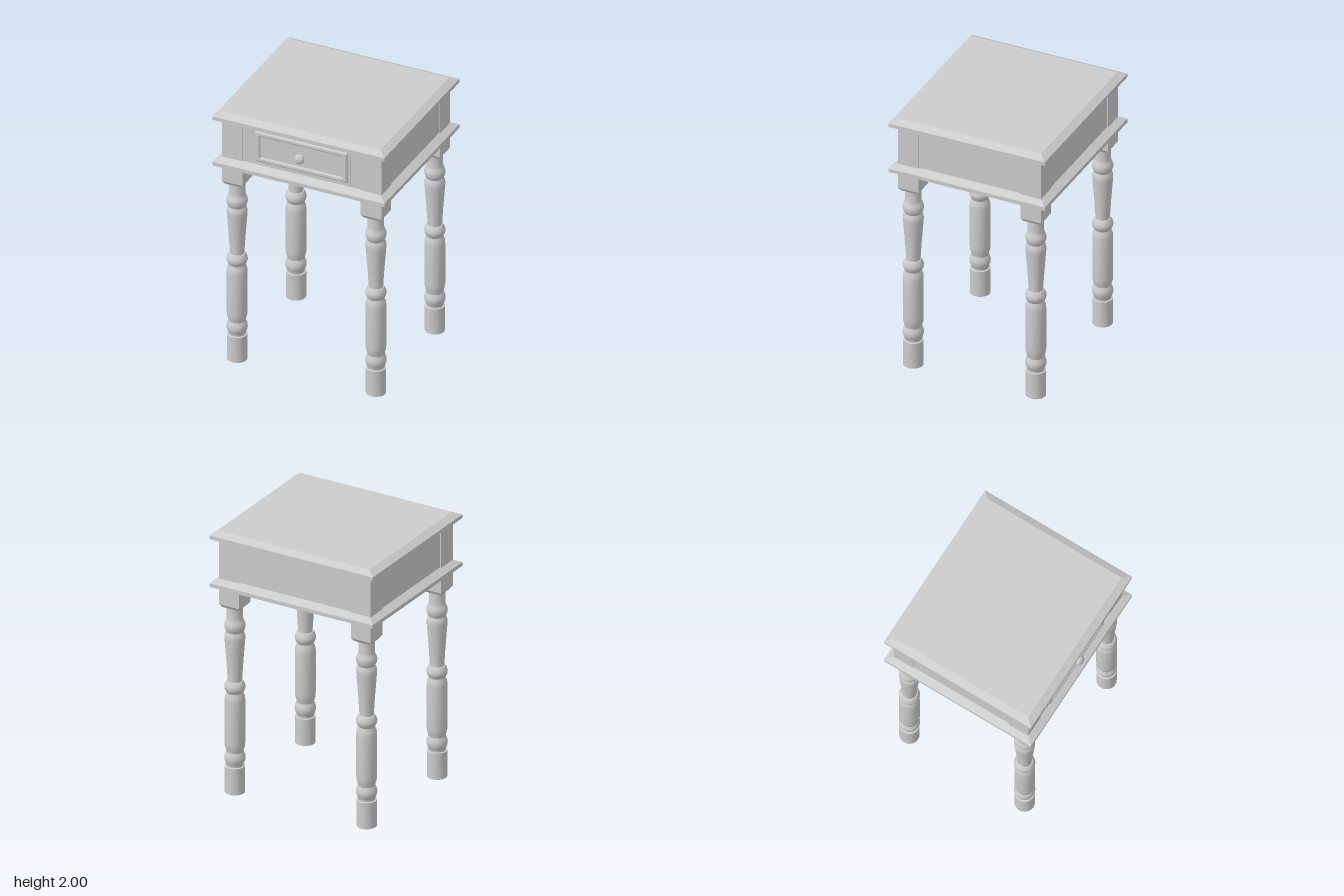
import * as THREE from 'three';
import { toCreasedNormals } from 'three/addons/utils/BufferGeometryUtils.js';

const grey = new THREE.MeshStandardMaterial({ color: 0xcccccc });
const CZ = -0.007; // cabinet centre in z (the knob sticks out in front)

function add(parent, name, geometry, x = 0, y = 0, z = 0) {
  const mesh = new THREE.Mesh(geometry, grey);
  mesh.name = name;
  mesh.position.set(x, y, z);
  parent.add(mesh);
  return mesh;
}

// Box from y0 to y1 whose top or bottom end is drawn in by a given inset
function taperedBox(w, d, y0, y1, topInset = 0, bottomInset = 0) {
  const g = new THREE.BoxGeometry(w, y1 - y0, d).translate(0, (y0 + y1) / 2, 0);
  const p = g.attributes.position;
  const mid = (y0 + y1) / 2;
  for (let i = 0; i < p.count; i++) {
    const inset = p.getY(i) > mid ? topInset : bottomInset;
    p.setX(i, p.getX(i) - Math.sign(p.getX(i)) * inset);
    p.setZ(i, p.getZ(i) - Math.sign(p.getZ(i)) * inset);
  }
  g.computeVertexNormals();
  return g;
}

function lathe(points, segments) {
  return toCreasedNormals(new THREE.LatheGeometry(points, segments), 0.6);
}

// Rounded bead of a turned leg, swelling from radius r to rMax
function bead(y0, y1, r, rMax, steps = 10) {
  const pts = [];
  for (let i = 0; i <= steps; i++) {
    const t = i / steps;
    pts.push(new THREE.Vector2(r + (rMax - r) * Math.sin(Math.PI * t), y0 + (y1 - y0) * t));
  }
  return pts;
}

function legGeometry() {
  const v = (r, y) => new THREE.Vector2(r, y);
  return lathe([
    v(0, 0), v(0.071, 0), v(0.071, 0.2), v(0.06, 0.203),
    ...bead(0.215, 0.31, 0.06, 0.074),
    v(0.064, 0.33), v(0.07, 0.35), v(0.072, 0.375),
    v(0.072, 0.7), v(0.07, 0.725), v(0.064, 0.742),
    ...bead(0.76, 0.845, 0.058, 0.074),
    v(0.05, 0.848), v(0.058, 0.98), v(0.072, 1.165), v(0.073, 1.185), v(0.07, 1.205),
    ...bead(1.225, 1.315, 0.06, 0.074),
    v(0.057, 1.33), v(0.057, 1.43),
  ], 32);
}

function rectangle(target, halfW, y0, y1) {
  target.moveTo(-halfW, y0);
  target.lineTo(halfW, y0);
  target.lineTo(halfW, y1);
  target.lineTo(-halfW, y1);
  target.closePath();
  return target;
}

export function createModel() {
  const table = new THREE.Group();
  table.name = 'sideTable';

  // Table top and lower moulding, each a flat edge under a sloped one
  add(table, 'topEdge', taperedBox(1.316, 1.198, 1.945, 1.972), 0, 0, CZ);
  add(table, 'topBevel', taperedBox(1.316, 1.198, 1.972, 2, 0.053), 0, 0, CZ);
  add(table, 'mouldingEdge', taperedBox(1.316, 1.198, 1.58, 1.608), 0, 0, CZ);
  add(table, 'mouldingBevel', taperedBox(1.316, 1.198, 1.608, 1.64, 0.055), 0, 0, CZ);

  // Cabinet panels set slightly back between the corner posts
  add(table, 'cabinet', new THREE.BoxGeometry(1.208, 0.31, 1.086), 0, 1.79, CZ);

  // Corner posts and turned legs
  const turned = legGeometry();
  for (const sx of [-1, 1]) {
    for (const sz of [-1, 1]) {
      const leg = new THREE.Group();
      leg.name = (sz > 0 ? 'front' : 'back') + (sx > 0 ? 'Left' : 'Right') + 'Leg';
      leg.position.set(sx * 0.532, 0, CZ + sz * 0.47);
      add(leg, 'post', taperedBox(0.158, 0.158, 1.44, 1.95));
      add(leg, 'blockChamfer', taperedBox(0.158, 0.158, 1.416, 1.44, 0, 0.016));
      add(leg, 'turnedLeg', turned);
      table.add(leg);
    }
  }

  // Drawer front: back plate and a bevelled frame around a sunken panel
  const drawer = new THREE.Group();
  drawer.name = 'drawer';
  add(drawer, 'drawerPlate', new THREE.BoxGeometry(0.746, 0.276, 0.03), 0, 1.792, 0.529);
  const frame = rectangle(new THREE.Shape(), 0.355, 1.672, 1.912);
  frame.holes.push(rectangle(new THREE.Path(), 0.313, 1.71, 1.874));
  const frameGeometry = new THREE.ExtrudeGeometry(frame, {
    depth: 0.002, bevelEnabled: true, bevelThickness: 0.01,
    bevelSize: 0.01, bevelOffset: -0.01, bevelSegments: 1,
  });
  add(drawer, 'drawerFrame', frameGeometry, 0, 0, 0.544);

  // Knob: stem and domed head, turned about z
  const knob = [[0.02, 0], [0.02, 0.004], [0.013, 0.008], [0.013, 0.02], [0.028, 0.024],
    [0.035, 0.03], [0.037, 0.037], [0.034, 0.046], [0.027, 0.053], [0.015, 0.058], [0, 0.06]];
  const knobGeometry = lathe(knob.map(([r, y]) => new THREE.Vector2(r, y)), 32);
  add(drawer, 'knob', knobGeometry, 0, 1.79, 0.544).rotation.x = Math.PI / 2;
  table.add(drawer);

  return table;
}
